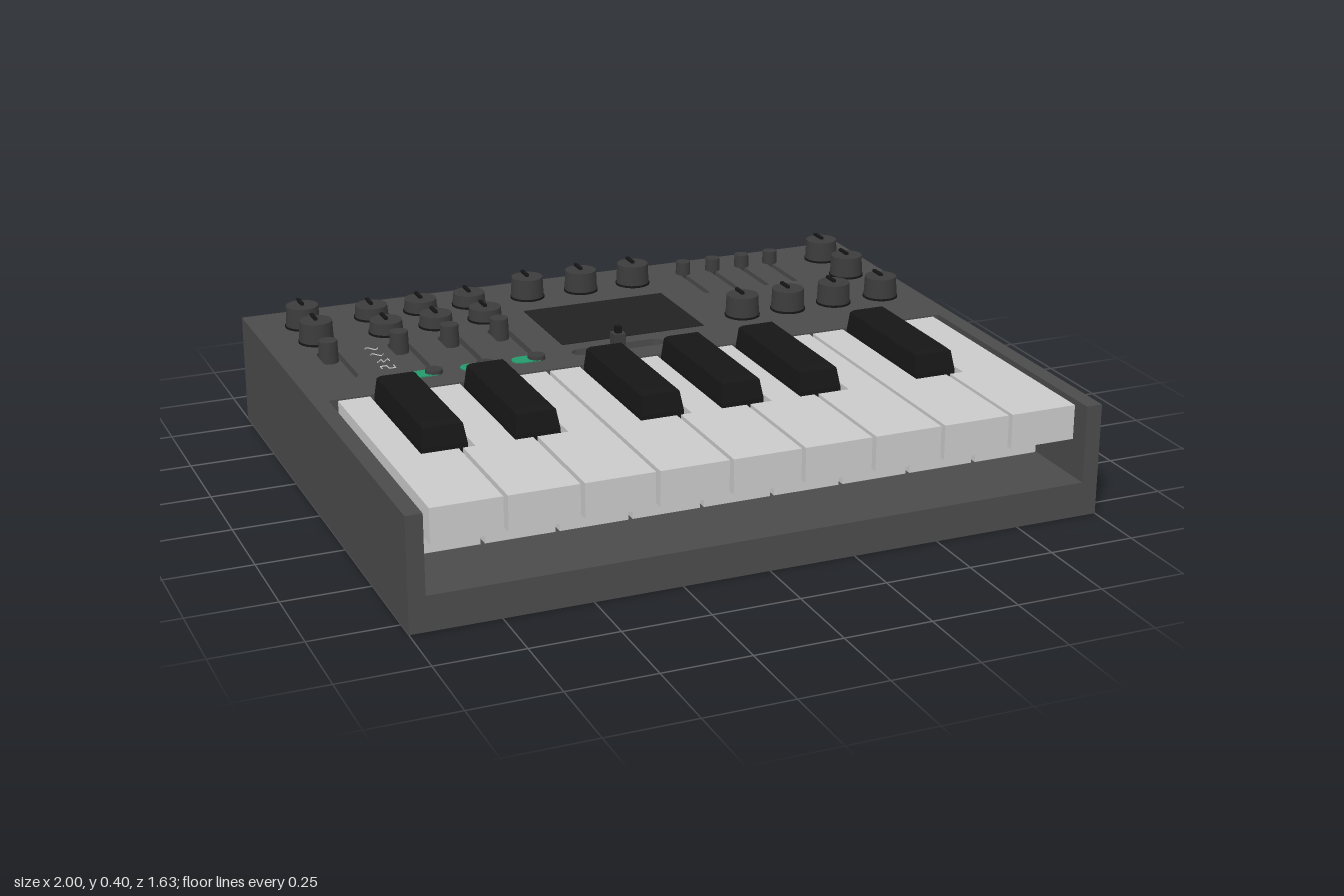
import * as THREE from 'three';

const mat = (color) => new THREE.MeshStandardMaterial({ color, roughness: 0.8 });
const M = {
  body: mat(0x4b4b4b), knob: mat(0x3c3c3c), mark: mat(0x161616), slot: mat(0x333333),
  white: mat(0xcccccc), black: mat(0x161616), screen: mat(0x222222), green: mat(0x259a6c),
};
const TOP = 0.325; // panel height
const SINK = 0.305; // floor of the panel recesses

export function createModel() {
  const root = new THREE.Group();
  const add = (name, geo, m, x = 0, y = 0, z = 0) => {
    const mesh = new THREE.Mesh(geo, m);
    mesh.name = name;
    mesh.position.set(x, y, z);
    root.add(mesh);
    return mesh;
  };
  // box given by its limits
  const box = (name, m, x0, x1, y0, y1, z0, z1) =>
    add(name, new THREE.BoxGeometry(x1 - x0, y1 - y0, z1 - z0), m, (x0 + x1) / 2, (y0 + y1) / 2, (z0 + z1) / 2);
  const cyl = (name, m, r0, r1, x, y0, y1, z) =>
    add(name, new THREE.CylinderGeometry(r1, r0, y1 - y0, 28), m, x, (y0 + y1) / 2, z);
  // plan outline (x, z) raised from y0 to y1
  const raise = (name, m, shape, y0, y1) => {
    const geo = new THREE.ExtrudeGeometry(shape, { depth: y1 - y0, bevelEnabled: false, curveSegments: 10 });
    return add(name, geo.rotateX(-Math.PI / 2), m, 0, y0, 0);
  };
  const outline = (pts) => new THREE.Shape(pts.map(([x, z]) => new THREE.Vector2(x, -z)));
  // rounded slot outline
  const pill = (x, z, w, d) => {
    const r = Math.min(w, d) / 2, s = new THREE.Shape();
    const dx = w / 2 - r, dy = d / 2 - r;
    s.absarc(x + dx, -z + dy, r, 0, Math.PI / 2);
    s.absarc(x - dx, -z + dy, r, Math.PI / 2, Math.PI);
    s.absarc(x - dx, -z - dy, r, Math.PI, Math.PI * 1.5);
    s.absarc(x + dx, -z - dy, r, Math.PI * 1.5, Math.PI * 2);
    return s;
  };

  // case
  const HINGE = -0.03;
  box('base', M.body, -1, 1, 0, 0.1, -0.815, 0.815);
  box('rearBlock', M.body, -1, 1, 0.1, SINK, -0.815, HINGE);
  for (const s of [-1, 1]) {
    box(s > 0 ? 'leftCheek' : 'rightCheek', M.body, s > 0 ? 0.953 : -1, s > 0 ? 1 : -0.953, 0.1, TOP, HINGE, 0.815);
  }

  // control panel with recessed slots
  const columns = [-0.637, -0.482, -0.327];
  const wideX = [-0.85, ...columns];
  const thinX = [0.393, 0.495, 0.596, 0.695];
  const slots = [
    ...wideX.map((x) => pill(x, -0.302, 0.066, 0.255)),
    ...thinX.map((x) => pill(x, -0.59, 0.018, 0.2)),
    pill(-0.051, -0.133, 0.284, 0.055),
  ];
  const panel = outline([[-1, HINGE], [1, HINGE], [1, -0.815], [-1, -0.815]]);
  panel.holes.push(...slots);
  raise('panel', M.body, panel, SINK, TOP);
  box('screen', M.screen, -0.196, 0.256, TOP - 0.01, TOP + 0.002, -0.54, -0.21);

  // rotary knobs, each with a pointer ridge
  const knob = (x, z, top) => {
    cyl('knobSkirt', M.mark, 0.053, 0.053, x, TOP, TOP + 0.006, z);
    cyl('knob', M.knob, 0.051, 0.048, x, TOP, top, z);
    box('knobPointer', M.mark, x - 0.005, x + 0.005, top - 0.005, top + 0.008, z - 0.045, z + 0.005);
  };
  for (const x of [-0.85, -0.137, 0.04, 0.214, 0.872]) knob(x, -0.67, 0.391);
  for (const x of columns) for (const z of [-0.67, -0.52]) knob(x, z, 0.365);
  knob(-0.85, -0.52, 0.391);
  knob(0.872, -0.49, 0.391);
  for (const x of [0.404, 0.556, 0.711, 0.872]) knob(x, -0.257, 0.391);

  // slider caps
  for (const x of wideX) cyl('sliderCap', M.knob, 0.029, 0.027, x, SINK, 0.37, -0.393);
  for (const x of thinX) {
    cyl('faderStem', M.knob, 0.008, 0.008, x, SINK, 0.345, -0.685);
    cyl('faderCap', M.knob, 0.023, 0.022, x, 0.33, 0.37, -0.685);
  }

  // toggle switches
  for (const x of columns) {
    raise('toggleTrack', M.green, pill(x - 0.003, -0.133, 0.1, 0.052), TOP - 0.01, TOP + 0.003);
    cyl('toggleButton', M.knob, 0.026, 0.025, x + 0.022, TOP, TOP + 0.012, -0.133);
  }

  // joystick
  box('joystickStem', M.knob, -0.069, -0.033, SINK, 0.37, -0.151, -0.115);
  box('joystickTip', M.mark, -0.06, -0.042, 0.37, 0.39, -0.142, -0.124);

  // waveform marks: sine, triangle, saw, square
  const sine = Array.from({ length: 13 }, (_, i) => [i / 6 - 1, Math.sin((i * Math.PI) / 6) * 0.6]);
  const waves = [
    sine,
    [[-1, 0], [-0.5, 0.7], [0.5, -0.7], [1, 0]],
    [[-1, -0.6], [0, 0.6], [0, -0.6], [1, 0.6], [1, -0.6]],
    [[-1, -0.6], [-1, 0.6], [0, 0.6], [0, -0.6], [1, -0.6], [1, 0.6]],
  ];
  waves.forEach((pts, i) => {
    const path = new THREE.CurvePath();
    const v = pts.map(([x, y]) => new THREE.Vector3(-0.722 + x * 0.02, TOP + 0.001, -0.393 + i * 0.056 - y * 0.02));
    for (let k = 1; k < v.length; k++) path.add(new THREE.LineCurve3(v[k - 1], v[k]));
    add('waveMark', new THREE.TubeGeometry(path, 36, 0.002, 4), M.white);
  });

  // white keys, cut back around the black ones
  const blackX = [-0.762, -0.5, -0.14, 0.1, 0.337, 0.7];
  const BACK = -0.02, NOTCH = 0.44, HALF = 0.075, PITCH = 0.2078;
  const keyOutline = (a, b, front) => {
    let l = a, r = b;
    for (const c of blackX) {
      if (c - HALF < a && c + HALF > a) l = c + HALF;
      if (c - HALF < b && c + HALF > b) r = c - HALF;
    }
    return outline([[a, front], [b, front], [b, NOTCH], [r, NOTCH], [r, BACK], [l, BACK], [l, NOTCH], [a, NOTCH]]);
  };
  for (let i = 0; i < 9; i++) {
    const a = -0.935 + i * PITCH + 0.006, b = a + PITCH - 0.012;
    raise('whiteKey', M.white, keyOutline(a, b, 0.79), 0.225, TOP);
    raise('whiteKeyBody', M.white, keyOutline(a, b, 0.6), 0.115, 0.225);
  }

  // black keys: tapered boxes with a bevelled top
  const taper = (x, name, y0, y1, lo, hi) => {
    const geo = new THREE.BoxGeometry(1, 1, 1).toNonIndexed(), p = geo.attributes.position;
    for (let i = 0; i < p.count; i++) {
      const [half, back, front] = p.getY(i) > 0 ? hi : lo;
      p.setXYZ(i, Math.sign(p.getX(i)) * half, p.getY(i) > 0 ? y1 : y0, p.getZ(i) > 0 ? front : back);
    }
    geo.computeVertexNormals();
    add(name, geo, M.black, x);
  };
  const foot = [0.065, -0.018, 0.43], shoulder = [0.064, -0.016, 0.41];
  const edge = [0.056, -0.014, 0.398], crown = [0.047, -0.006, 0.375];
  for (const x of blackX) {
    taper(x, 'blackKeyFoot', 0.115, TOP, foot, shoulder);
    taper(x, 'blackKey', TOP, 0.378, shoulder, edge);
    taper(x, 'blackKeyTop', 0.378, 0.386, edge, crown);
  }
  return root;
}
